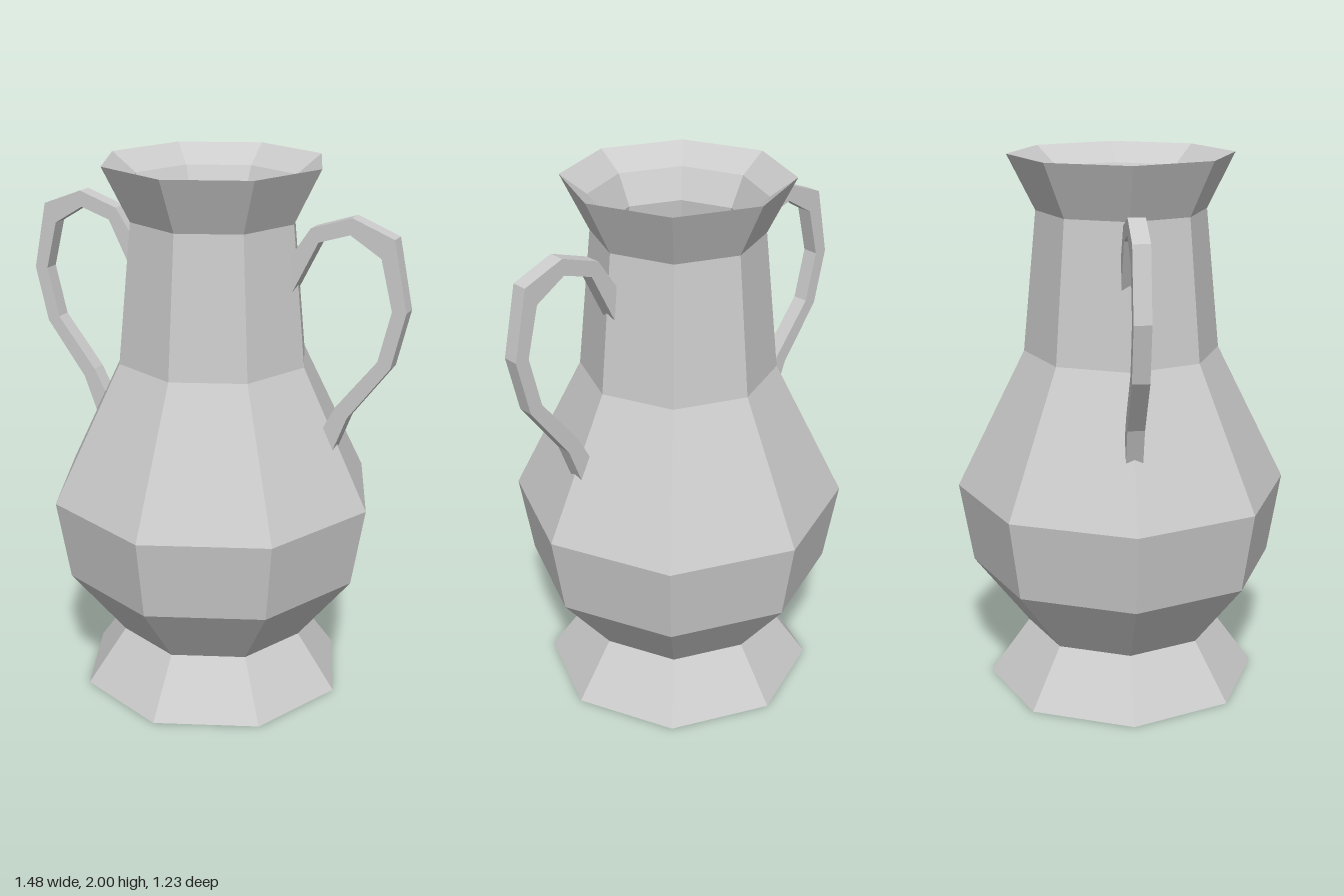
import * as THREE from 'three';

const material = new THREE.MeshStandardMaterial({ color: 0xcccccc, flatShading: true });
const toPoints = (list) => list.map(([x, y]) => new THREE.Vector2(x, y));

// Turned octagonal vessel: underside, outer wall, lip, then the hollow inside
function createVessel() {
  const outer = [
    [0, 0], [0.51, 0], [0.36, 0.21], [0.565, 0.47], [0.615, 0.77],
    [0.36, 1.285], [0.31, 1.8], [0.41, 2],
  ];
  const inner = [
    [0.315, 1.93], [0.26, 1.82], [0.31, 1.3], [0.555, 0.77], [0.5, 0.5], [0, 0.27],
  ];
  const mesh = new THREE.Mesh(new THREE.LatheGeometry(toPoints([...outer, ...inner]), 8), material);
  mesh.name = 'vessel';
  return mesh;
}

// Flat-sided handle: angular loop cut from a slab
function createHandle(name, angle) {
  const outerEdge = [
    [0.29, 1.66], [0.385, 1.8], [0.535, 1.85], [0.69, 1.79],
    [0.742, 1.54], [0.693, 1.335], [0.54, 1.13], [0.49, 1.0],
  ];
  const innerEdge = [
    [0.45, 1.08], [0.495, 1.165], [0.645, 1.355], [0.69, 1.54],
    [0.645, 1.72], [0.53, 1.79], [0.415, 1.753], [0.32, 1.565],
  ];
  const depth = 0.06;
  const geometry = new THREE.ExtrudeGeometry(new THREE.Shape(toPoints([...outerEdge, ...innerEdge])), {
    depth, bevelEnabled: false,
  });
  geometry.translate(0, 0, -depth / 2);
  const mesh = new THREE.Mesh(geometry, material);
  mesh.name = name;
  mesh.rotation.y = angle;
  return mesh;
}

export function createModel() {
  const group = new THREE.Group();
  group.name = 'twoHandledVase';
  group.add(
    createVessel(),
    createHandle('leftHandle', 0),
    createHandle('rightHandle', Math.PI),
  );
  return group;
}
